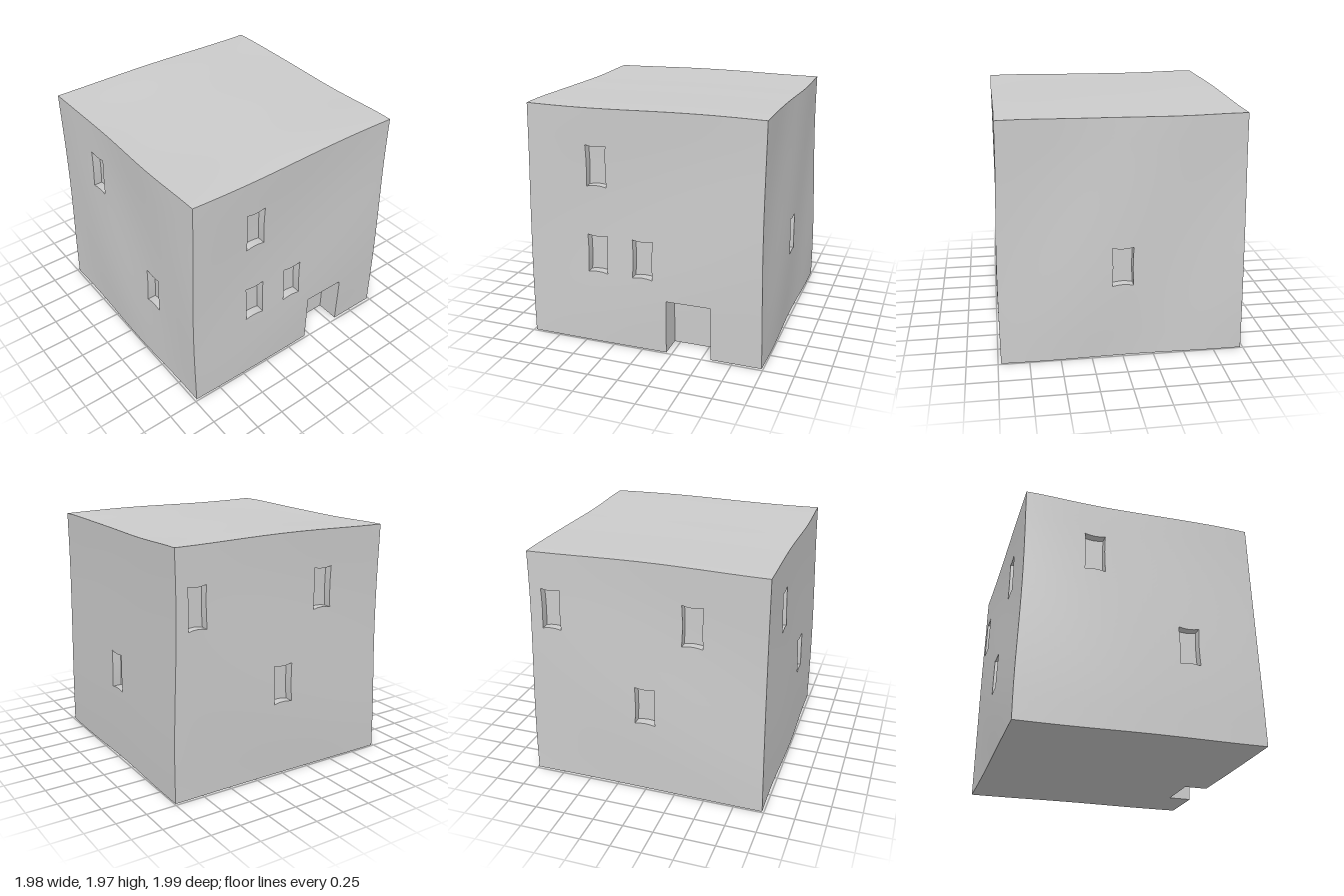
import * as THREE from 'three';

const HALF = 0.97, HEIGHT = 1.96, DOOR_DEPTH = 0.19, WINDOW_DEPTH = 0.07;
const STEP = 0.055;

// Fills the gaps between the given cuts with evenly spaced grid lines
function lines(cuts) {
  const out = [cuts[0]];
  for (let i = 1; i < cuts.length; i++) {
    const n = Math.ceil((cuts[i] - cuts[i - 1]) / STEP);
    for (let k = 1; k <= n; k++) out.push(cuts[i - 1] + (cuts[i] - cuts[i - 1]) * k / n);
  }
  return out;
}
const SIDE = lines([-HALF, -0.865, -0.7, -0.57, -0.2, -0.085, 0.085, 0.3, 0.47, HALF - DOOR_DEPTH, HALF]);
const RISE = lines([0, 0.45, 0.61, 0.93, 1.33, 1.665, HEIGHT]);

// Hand-built unevenness: walls lean in towards the top, the roof undulates
function warp(p) {
  const { x, y, z } = p;
  const lean = 0.012 - 0.026 * THREE.MathUtils.smoothstep(y, 0.2, 1.75);
  const u = x / HALF, w = z / HALF;
  const waveX = 0.006 * Math.sin(3.1 * y + 2.2 * z + 0.6 * u);
  const waveZ = 0.007 * Math.sin(2.4 * y + 4.3 * x + 1.2 * w);
  const waveY = 0.009 * Math.cos(4.4 * x + 0.3) * -1 * u * u + 0.007 * Math.sin(3.2 * z + 2.2 + 0.8 * x);
  p.x += u ** 5 * (lean + waveX);
  p.z += w ** 5 * (lean + 0.004 + waveZ);
  p.y += (y / HEIGHT) ** 5 * waveY;
  return p;
}

// Smooth sheet over a grid of lines, leaving out cells inside any hole
function sheet(name, as, bs, point, flip, holes = []) {
  const pos = [], idx = [], nb = bs.length;
  for (const a of as) for (const b of bs) pos.push(...point(a, b).toArray());
  for (let i = 0; i < as.length - 1; i++) {
    for (let j = 0; j < nb - 1; j++) {
      const a = (as[i] + as[i + 1]) / 2, b = (bs[j] + bs[j + 1]) / 2;
      if (holes.some(h => a > h.a0 && a < h.a1 && b > h.b0 && b < h.b1)) continue;
      const p = i * nb + j, q = p + nb;
      if (flip) idx.push(p, q + 1, q, p, p + 1, q + 1);
      else idx.push(p, q, q + 1, p, q + 1, p + 1);
    }
  }
  const geo = new THREE.BufferGeometry();
  geo.setAttribute('position', new THREE.Float32BufferAttribute(pos, 3));
  geo.setIndex(idx);
  geo.computeVertexNormals();
  const mesh = new THREE.Mesh(geo, new THREE.MeshStandardMaterial({ color: 0xcccccc }));
  mesh.name = name;
  return mesh;
}

const upper = c => ({ name: 'upperWindow', a0: c[0], a1: c[1], b0: 1.33, b1: 1.665, depth: WINDOW_DEPTH });
const lower = c => ({ name: 'lowerWindow', a0: c[0], a1: c[1], b0: 0.61, b1: 0.93, depth: WINDOW_DEPTH });
const door = { name: 'doorway', a0: -0.57, a1: -0.2, b0: 0, b1: 0.45, depth: DOOR_DEPTH };
const FAR = [-0.865, -0.7], LEFT = [-0.47, -0.3], MID = [-0.085, 0.085], RIGHT = [0.3, 0.47];

// Window outlines bow inwards along each edge
function pinch(a, b, holes) {
  for (const h of holes) {
    if (h === door) continue;
    const ha = (h.a1 - h.a0) / 2, hb = (h.b1 - h.b0) / 2;
    const s = (a - h.a0) / ha - 1, t = (b - h.b0) / hb - 1;
    if (Math.abs(s) > 1.001 || Math.abs(t) > 1.001) continue;
    return [a - ha * 0.07 * s * (1 - t * t), b - hb * 0.07 * t * (1 - s * s)];
  }
  return [a, b];
}

// A wall with recessed openings; place(a, b, depth) maps into the block
function wall(name, place, flip, holes, as = SIDE) {
  const group = new THREE.Group();
  group.name = name;
  const at = (a, b, d) => warp(place(...pinch(a, b, holes), d));
  group.add(sheet(name + 'Surface', as, RISE, (a, b) => at(a, b, 0), flip, holes));
  for (const h of holes) {
    const inside = (v, lo, hi) => v > lo - 1e-6 && v < hi + 1e-6;
    const ha = as.filter(v => inside(v, h.a0, h.a1));
    const hb = RISE.filter(v => inside(v, h.b0, h.b1));
    const ds = [0, h.depth];
    const opening = new THREE.Group();
    opening.name = h.name;
    opening.add(
      sheet('recessBack', ha, hb, (a, b) => at(a, b, h.depth), flip),
      sheet('jamb', ds, hb, (d, b) => at(h.a0, b, d), flip),
      sheet('jamb', ds, hb, (d, b) => at(h.a1, b, d), !flip),
      sheet('lintel', ha, ds, (a, d) => at(a, h.b1, d), !flip));
    if (h.b0 > 0) opening.add(sheet('sill', ha, ds, (a, d) => at(a, h.b0, d), flip));
    group.add(opening);
  }
  return group;
}

export function createModel() {
  const house = new THREE.Group();
  house.name = 'house';
  const V = (x, y, z) => new THREE.Vector3(x, y, z);

  // The front needs extra grid lines for its left-hand window
  const frontLines = [...SIDE.filter(v => v < -0.58 || v > -0.19),
    ...lines([-0.57, -0.47, -0.3, -0.2])].sort((p, q) => p - q);

  // Walls
  house.add(
    wall('frontWall', (a, b, d) => V(a, b, HALF - d), false, [upper(LEFT), lower(RIGHT)], frontLines),
    wall('backWall', (a, b, d) => V(a, b, d - HALF), true, [lower(MID)]),
    wall('leftWall', (a, b, d) => V(HALF - d, b, a), true, [upper(RIGHT), lower(RIGHT), lower(MID), door]),
    wall('rightWall', (a, b, d) => V(d - HALF, b, a), false, [upper(FAR), upper(RIGHT), lower(MID)]));

  // Roof, and floor notched at the doorway
  const notch = { a0: HALF - DOOR_DEPTH, a1: HALF, b0: door.a0, b1: door.a1 };
  house.add(
    sheet('roof', SIDE, SIDE, (x, z) => warp(V(x, HEIGHT, z)), true),
    sheet('floor', SIDE, SIDE, (x, z) => warp(V(x, 0, z)), false, [notch]));
  return house;
}
